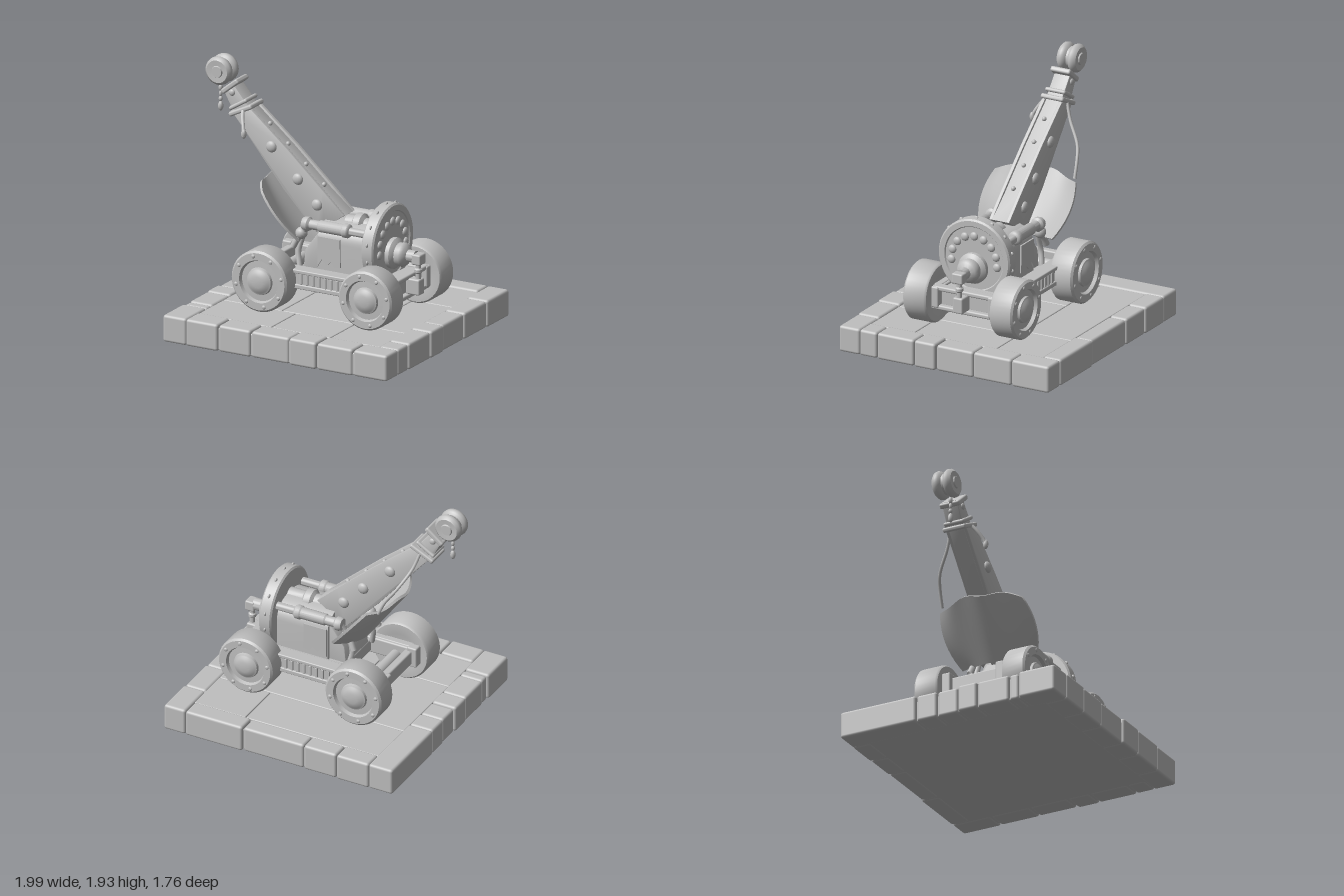
import * as THREE from 'three';
import { toCreasedNormals } from 'three/addons/utils/BufferGeometryUtils.js';
import { RoundedBoxGeometry } from 'three/addons/geometries/RoundedBoxGeometry.js';

export function createModel() {
  const model = new THREE.Group();
  const grey = new THREE.MeshStandardMaterial({ color: 0xbfbfbf, side: THREE.DoubleSide });
  grey.name = 'stone grey';

  const add = (name, geo, x = 0, y = 0, z = 0, parent = model) => {
    const m = new THREE.Mesh(geo, grey);
    m.name = name;
    m.position.set(x, y, z);
    parent.add(m);
    return m;
  };
  // Box given by its limits on each axis
  const block = (name, x0, x1, y0, y1, z0, z1, r = 0.012) =>
    add(name, new RoundedBoxGeometry(x1 - x0, y1 - y0, z1 - z0, 2, r), (x0 + x1) / 2, (y0 + y1) / 2, (z0 + z1) / 2);
  // Turned part: points are [radius, height along axis]
  const turned = (pts, axis, seg = 32) => {
    const g = new THREE.LatheGeometry(pts.map(p => new THREE.Vector2(p[0], p[1])), seg);
    if (axis === 'x') g.rotateZ(-Math.PI / 2);
    if (axis === 'z') g.rotateX(Math.PI / 2);
    return toCreasedNormals(g, 0.7);
  };
  const shapeOf = pts => new THREE.Shape(pts.map(p => new THREE.Vector2(p[0], p[1])));
  // Side profile extruded evenly about z = 0, with softened edges
  const slab = (pts, half, bevel = 0.01) => {
    const g = new THREE.ExtrudeGeometry(shapeOf(pts), {
      depth: 2 * (half - bevel), bevelThickness: bevel, bevelSize: bevel, bevelOffset: -bevel, bevelSegments: 2,
    });
    return toCreasedNormals(g.translate(0, 0, bevel - half), 0.7);
  };
  const tube = (name, pts, r) => add(name, new THREE.TubeGeometry(
    new THREE.CatmullRomCurve3(pts.map(p => new THREE.Vector3(...p))), 24, r, 8));
  const rivet = (name, r, x, y, z, flat = 'z', parent = model) => {
    const m = add(name, new THREE.SphereGeometry(r, 14, 10), x, y, z, parent);
    m.scale[flat] = 0.6;
    return m;
  };

  // Stone plinth: core, floor slabs and border blocks
  block('plinthCore', -0.85, 0.96, 0.005, 0.175, -0.86, 0.86);
  const floorRows = [[-0.735, -0.35, [-0.69, 0.405, 0.83]], [-0.35, 0.33, [-0.69, -0.2, 0.5, 0.83]], [0.33, 0.695, [-0.69, -0.08, 0.41, 0.83]]];
  for (const [z0, z1, xs] of floorRows)
    for (let i = 0; i < xs.length - 1; i++)
      block('floorSlab', xs[i] + 0.002, xs[i + 1] - 0.002, 0.1, 0.192, z0 + 0.002, z1 - 0.002, 0.008);
  const border = (name, cuts, along) => cuts.slice(1).forEach((b, i) => {
    const a = cuts[i] + 0.003, wob = (i % 3) * 0.006;
    along(name, a, b - 0.003, wob);
  });
  const rowX = (zIn, zOut) => (n, a, b, w) => block(n, a, b, 0, 0.204 - w * 0.5,
    Math.min(zIn, zOut + (zOut < 0 ? w : 0)), Math.max(zIn, zOut - (zOut > 0 ? w : 0)), 0.02);
  const rowZ = (xIn, xOut) => (n, a, b, w) => block(n, Math.min(xIn, xOut + (xOut < 0 ? w : 0)),
    Math.max(xIn, xOut - (xOut > 0 ? w : 0)), 0, 0.204 - w * 0.5, a, b, 0.02);
  border('frontBorderStone', [-0.69, -0.42, -0.15, 0.17, 0.4, 0.7, 0.985], rowX(0.695, 0.88));
  border('backBorderStone', [-0.69, -0.42, -0.15, 0.35, 0.82], rowX(-0.735, -0.885));
  border('leftBorderStone', [-0.885, -0.57, -0.25, 0.06, 0.24, 0.55, 0.7], rowZ(0.82, 0.995));
  border('rightBorderStone', [-0.885, -0.26, -0.09, 0.08, 0.24, 0.5, 0.58, 0.88], rowZ(-0.685, -0.88));

  // Wheels with rim, recessed face and domed hub
  const wheelProfile = [[0, -0.09], [0.13, -0.09], [0.15, -0.095], [0.21, -0.095], [0.222, -0.08], [0.222, 0.08],
    [0.208, 0.095], [0.155, 0.095], [0.145, 0.07], [0.1, 0.072], [0.095, 0.09], [0.082, 0.095], [0.07, 0.115], [0.04, 0.13], [0, 0.135]]
    .map(([r, h]) => [r, h > 0.095 ? 0.095 + (h - 0.095) * 0.5 : h]);
  for (const [x, k] of [[-0.325, 1.04], [0.56, 1]]) {
    for (const s of [1, -1]) {
      const wheel = new THREE.Group();
      wheel.name = 'wheel';
      wheel.position.set(x, 0.425, s * 0.36);
      if (s < 0) wheel.rotation.y = Math.PI;
      wheel.scale.set(k, k, 1);
      add('wheelBody', turned(wheelProfile, 'z', 40), 0, 0, 0, wheel);
      for (let i = 0; i < 8; i++) {
        const a = (i + 0.3) * Math.PI / 4;
        rivet('wheelRivet', 0.015, Math.cos(a) * 0.185, Math.sin(a) * 0.185, 0.094, 'z', wheel);
      }
      model.add(wheel);
    }
    add('axle', turned([[0, -0.3], [0.045, -0.3], [0.045, 0.3], [0, 0.3]], 'z', 16), x, 0.425, 0);
  }

  // Chassis rails, cross beams and end frame
  for (const s of [1, -1]) {
    const z0 = s > 0 ? 0.2 : -0.32;
    block('chassisRail', -0.46, 0.66, 0.385, 0.515, z0 + (s < 0 ? 0.01 : 0), z0 + (s < 0 ? 0.12 : 0.11));
    for (const [y0, y1] of [[0.375, 0.41], [0.49, 0.52]])
      block('railLip', -0.44, 0.64, y0, y1, s > 0 ? 0.22 : -0.325, s > 0 ? 0.325 : -0.22, 0.008);
    for (let i = 0; i < 8; i++) {
      const x = -0.06 + i * 0.05;
      block('railRib', x, x + 0.02, 0.41, 0.49, s > 0 ? 0.3 : -0.322, s > 0 ? 0.322 : -0.3, 0.004);
    }
    block('endPost', 0.63, 0.7, 0.36, 0.52, s * 0.235 - 0.03, s * 0.235 + 0.03);
    block('rearPost', -0.5, -0.42, 0.37, 0.53, s * 0.22 - 0.035, s * 0.22 + 0.035);
  }
  block('rearCrossBeam', -0.46, -0.4, 0.39, 0.5, -0.25, 0.25);
  block('frontCrossPanel', 0.6, 0.65, 0.37, 0.51, -0.25, 0.25);
  block('frontTopBar', 0.62, 0.69, 0.49, 0.525, -0.25, 0.25);
  block('frontBottomBar', 0.62, 0.69, 0.345, 0.38, -0.27, 0.27);
  block('deck', -0.12, 0.62, 0.4, 0.5, -0.23, 0.23);

  // Body housing: arched hull and sloping rear
  const arch = new THREE.Shape();
  arch.moveTo(-0.2, 0.45);
  arch.lineTo(0.2, 0.45);
  arch.lineTo(0.2, 0.72);
  arch.bezierCurveTo(0.2, 0.83, 0.1, 0.86, 0, 0.86);
  arch.bezierCurveTo(-0.1, 0.86, -0.2, 0.83, -0.2, 0.72);
  const hull = new THREE.ExtrudeGeometry(arch, { depth: 0.42, bevelEnabled: false, curveSegments: 12 });
  add('bodyHull', toCreasedNormals(hull.rotateY(Math.PI / 2), 0.7), 0.02);
  add('rearHousing', slab([[-0.12, 0.46], [0.1, 0.46], [0.1, 0.84], [0.02, 0.79], [-0.1, 0.63]], 0.17));
  add('topCylinder', turned([[0, 0], [0.06, 0], [0.06, 0.06], [0.085, 0.08], [0.085, 0.13], [0.055, 0.15], [0.055, 0.28], [0, 0.28]], 'x', 20), 0.16, 0.83, 0);
  // Ragged cover on each flank
  for (const s of [1, -1]) {
    const cover = new THREE.ExtrudeGeometry(shapeOf([[0.025, 0.76], [0.025, 0.53], [0.06, 0.59], [0.1, 0.545], [0.135, 0.58],
      [0.17, 0.54], [0.215, 0.55], [0.21, 0.76]]), { depth: 0.012, bevelEnabled: false });
    add('raggedCover', cover, 0, 0, s > 0 ? 0.198 : -0.21);
  }

  // Round end plate with rivets
  add('endPlate', turned([[0, -0.05], [0.285, -0.05], [0.297, -0.038], [0.297, 0.04], [0.285, 0.052], [0.245, 0.052], [0.238, 0.043], [0, 0.043]], 'x', 48), 0.485, 0.73, 0);
  for (let i = 0; i < 9; i++) {
    const a = -0.1 + i * (Math.PI + 0.2) / 8;
    rivet('plateRivet', 0.032, 0.53, 0.71 + Math.sin(a) * 0.19, Math.cos(a) * 0.19, 'x');
  }
  for (let i = 0; i < 14; i++) {
    const a = i * Math.PI / 7 + 0.2;
    rivet('rimRivet', 0.016, 0.485, 0.73 + Math.sin(a) * 0.294, Math.cos(a) * 0.294, 'x');
  }
  // Stepped boss, square nut and hanging pin
  add('boss', turned([[0, 0], [0.115, 0], [0.115, 0.035], [0.1, 0.05], [0.085, 0.06], [0.09, 0.1], [0.075, 0.125],
    [0.045, 0.14], [0.045, 0.2], [0, 0.2]], 'x', 28), 0.525, 0.66, 0);
  block('squareNut', 0.71, 0.785, 0.61, 0.69, -0.045, 0.045);
  add('hangingPin', turned([[0, 0], [0.02, 0], [0.02, 0.05], [0.03, 0.06], [0.03, 0.08], [0.02, 0.09], [0.02, 0.13], [0, 0.13]], 'y', 12), 0.745, 0.49, 0);
  block('pinBlock', 0.66, 0.775, 0.38, 0.5, -0.04, 0.04);

  // Hydraulic rams and their links to the shield
  for (const s of [1, -1]) {
    add('ram', turned([[0, 0], [0.045, 0], [0.052, 0.02], [0.052, 0.045], [0.036, 0.06], [0.036, 0.13], [0.044, 0.14], [0.044, 0.33],
      [0.052, 0.34], [0.052, 0.375], [0.044, 0.385], [0.03, 0.39], [0.03, 0.55], [0, 0.55]], 'x', 20), -0.1, 0.835, s * 0.19);
    tube('ramLink', [[-0.07, 0.84, s * 0.19], [-0.11, 0.77, s * 0.17], [-0.16, 0.7, s * 0.18], [-0.19, 0.64, s * 0.19]], 0.024);
    tube('shieldStrut', [[-0.13, 0.72, s * 0.15], [-0.16, 0.6, s * 0.16], [-0.14, 0.5, s * 0.18]], 0.02);
    add('ramKnuckle', new THREE.SphereGeometry(0.045, 14, 10), -0.13, 0.75, s * 0.17);
  }

  // Boom: core, side cheeks and rivets
  const boom = [[-0.85, 1.7], [-0.77, 1.55], [-0.66, 1.42], [-0.33, 1.02], [-0.06, 0.74], [0.01, 0.79], [0.17, 0.9],
    [0, 1.06], [-0.3, 1.33], [-0.6, 1.58], [-0.75, 1.76]];
  const cheek = boom.slice(1, 10).map(([x, y]) => [x, y]);
  add('boomCore', slab(boom.map(([x, y], i) => (i > 6 ? [x - 0.012, y - 0.012] : [x, y])), 0.066));
  for (const s of [1, -1]) {
    add('boomCheek', slab(cheek, 0.014, 0.006), 0, 0, s * 0.07);
    for (const [x, y] of [[-0.43, 1.33], [-0.21, 1.12], [-0.05, 0.95]]) rivet('boomRivet', 0.043, x, y, s * 0.085);
    rivet('neckRivet', 0.025, -0.77, 1.68, s * 0.066);
  }
  for (const t of [0.1, 0.35, 0.6, 0.85])
    add('boomTopRivet', new THREE.SphereGeometry(0.018, 10, 8), -0.55 + t * 0.6, 1.525 - t * 0.52, 0);
  // Collars around the neck
  for (const [x, y, w, h, d, a] of [[-0.785, 1.725, 0.17, 0.04, 0.165, 0.68], [-0.69, 1.56, 0.21, 0.035, 0.19, 0.45], [-0.715, 1.6, 0.17, 0.03, 0.17, 0.55]])
    add('boomCollar', new RoundedBoxGeometry(w, h, d, 3, 0.014), x, y, 0).rotation.z = a;

  // Grooved pulley at the tip
  add('pulley', turned([[0, -0.085], [0.04, -0.085], [0.045, -0.075], [0.085, -0.078], [0.104, -0.06], [0.107, -0.04], [0.098, -0.02], [0.08, -0.008],
    [0.08, 0.008], [0.098, 0.02], [0.107, 0.04], [0.104, 0.06], [0.085, 0.078], [0.045, 0.075], [0.04, 0.085], [0, 0.085]], 'z', 36), -0.89, 1.82, 0);

  // Hanging chain and loose ropes
  for (const [y, r, k] of [[1.69, 0.016, 1.6], [1.645, 0.013, 1.7], [1.605, 0.015, 1.3], [1.55, 0.02, 1.8]])
    add('chainLink', new THREE.SphereGeometry(r, 10, 8), -0.885, y, 0.03).scale.y = k;
  tube('longRope', [[-0.68, 1.57, -0.08], [-0.64, 1.44, -0.13], [-0.56, 1.29, -0.235], [-0.49, 1.19, -0.27], [-0.44, 1.08, -0.28]], 0.012);
  tube('shortRope', [[-0.67, 1.57, 0.08], [-0.65, 1.52, 0.12], [-0.62, 1.45, 0.16], [-0.61, 1.4, 0.175]], 0.014);
  add('ropeEnd', new THREE.SphereGeometry(0.02, 10, 8), -0.612, 1.42, 0.17).scale.y = 1.8;

  // Curved shield under the boom, bent by a rule
  const shield = new THREE.BoxGeometry(2, 1, 1, 24, 10, 1);
  const p = shield.attributes.position;
  for (let i = 0; i < p.count; i++) {
    const u = p.getX(i), v = 0.5 - p.getY(i), n = p.getZ(i) * 0.02;
    const half = 0.335 + 0.16 * v * (1 - v) - 0.03 * v * v;
    const x = -0.495 + 0.29 * v + 0.13 * u * u;
    const y = 1.095 + 0.012 * Math.sin(u * 7) * (1 - v) - 0.41 * v + u * u * (0.07 * v - 0.02);
    p.setXYZ(i, x + n * 0.8, y + n * 0.6, -u * half);
  }
  // Winding follows the flipped axis, so the outer side faces down and back
  add('shield', toCreasedNormals(shield, 0.7));

  return model;
}
